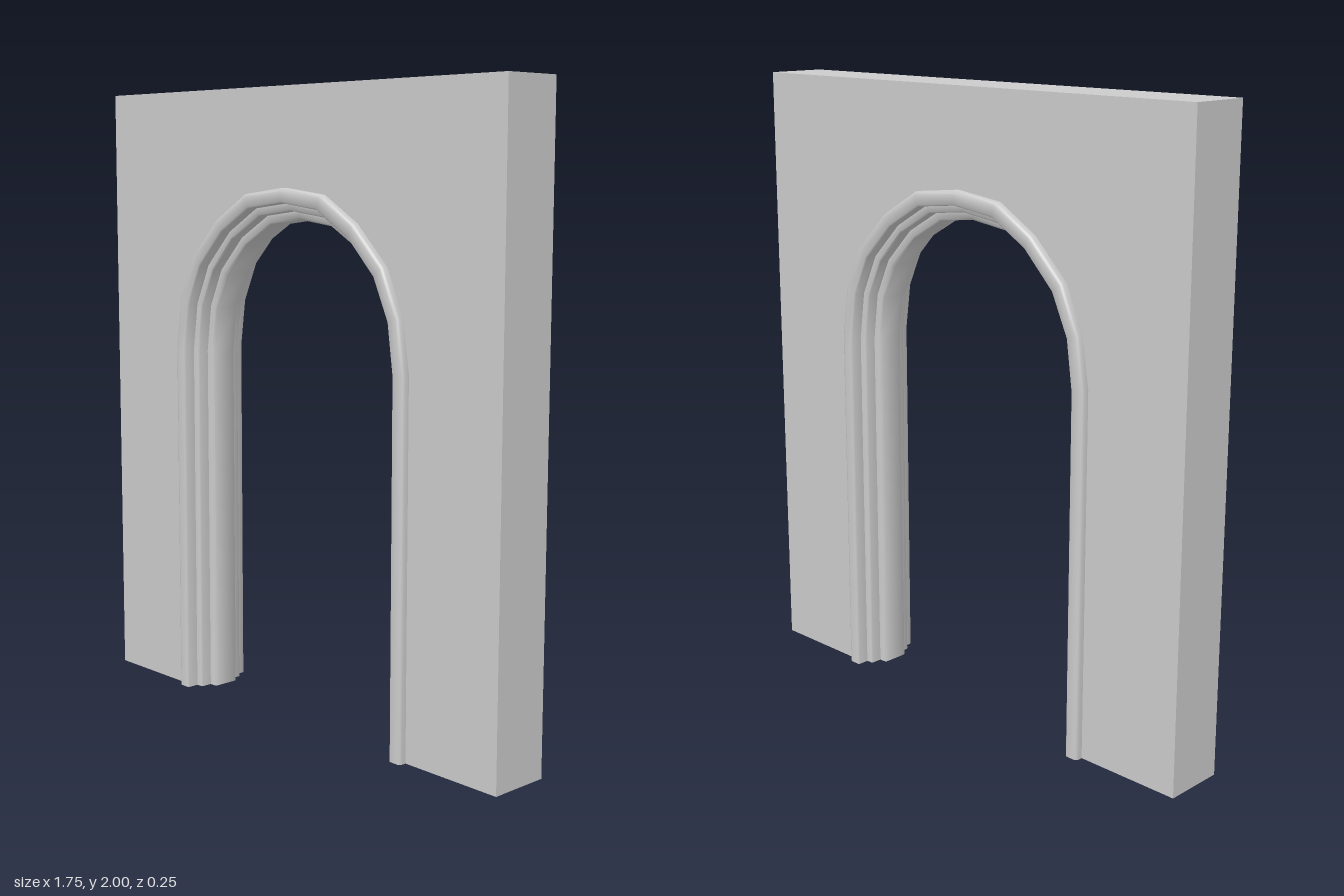
import * as THREE from 'three';
import { toCreasedNormals } from 'three/addons/utils/BufferGeometryUtils.js';

const material = new THREE.MeshStandardMaterial({ color: 0xcccccc, side: THREE.DoubleSide });

// Half of the arch from foot to crown: inner and outer edge of the trim
const innerHalf = [[0.425, 0], [0.425, 1.148], [0.407, 1.296], [0.355, 1.407], [0.259, 1.508], [0.138, 1.577], [0, 1.594]];
const outerHalf = [[0.523, 0], [0.523, 1.164], [0.499, 1.323], [0.434, 1.467], [0.312, 1.589], [0.172, 1.672], [0, 1.692]];
const mirrored = (half) => [...half, ...half.slice(0, -1).reverse().map(([x, y]) => [-x, y])];
const inner = mirrored(innerHalf);
const outer = mirrored(outerHalf);

// Wall slab with the arched opening; the underside is left open
function wallGeometry() {
  const shape = new THREE.Shape();
  shape.moveTo(0.875, 0);
  shape.lineTo(0.875, 2);
  shape.lineTo(-0.875, 2);
  shape.lineTo(-0.875, 0);
  [...outer].reverse().forEach(([x, y]) => shape.lineTo(x, y));
  const slab = new THREE.ExtrudeGeometry(shape, { depth: 0.2, bevelEnabled: false });
  slab.translate(0, 0, -0.1);
  const p = slab.toNonIndexed ? (slab.index ? slab.toNonIndexed() : slab).attributes.position : null;
  const kept = [];
  for (let i = 0; i < p.count; i += 3) {
    if ([0, 1, 2].every((k) => p.getY(i + k) < 1e-4)) continue;
    for (let k = 0; k < 3; k++) kept.push(p.getX(i + k), p.getY(i + k), p.getZ(i + k));
  }
  const geometry = new THREE.BufferGeometry();
  geometry.setAttribute('position', new THREE.Float32BufferAttribute(kept, 3));
  geometry.computeVertexNormals();
  return geometry;
}

// Stepped trim profile: [fraction from inner to outer edge, z], front half then back
const frontProfile = [
  [1, 0.1], [1, 0.115], [0.97, 0.122], [0.9, 0.125],
  [0.58, 0.125], [0.53, 0.12], [0.53, 0.086],
  [0.32, 0.085], [0.28, 0.08], [0.28, 0.047],
  [0.05, 0.046], [0, 0.041],
];
const profile = [...frontProfile, ...[...frontProfile].reverse().map(([t, z]) => [t, -z])];

// Sweep the profile along the arch
function trimGeometry() {
  const positions = [];
  const index = [];
  const n = profile.length;
  inner.forEach(([ix, iy], i) => {
    const [ox, oy] = outer[i];
    for (const [t, z] of profile) positions.push(ix + (ox - ix) * t, iy + (oy - iy) * t, z);
  });
  for (let i = 0; i < inner.length - 1; i++) {
    for (let j = 0; j < n - 1; j++) {
      const a = i * n + j;
      const b = a + n;
      index.push(a, b, a + 1, b, b + 1, a + 1);
    }
  }
  const geometry = new THREE.BufferGeometry();
  geometry.setAttribute('position', new THREE.Float32BufferAttribute(positions, 3));
  geometry.setIndex(index);
  return toCreasedNormals(geometry, THREE.MathUtils.degToRad(50));
}

export function createModel() {
  const group = new THREE.Group();
  group.name = 'archedDoorway';
  const wall = new THREE.Mesh(wallGeometry(), material);
  wall.name = 'wall';
  const trim = new THREE.Mesh(trimGeometry(), material);
  trim.name = 'archTrim';
  group.add(wall, trim);
  return group;
}
